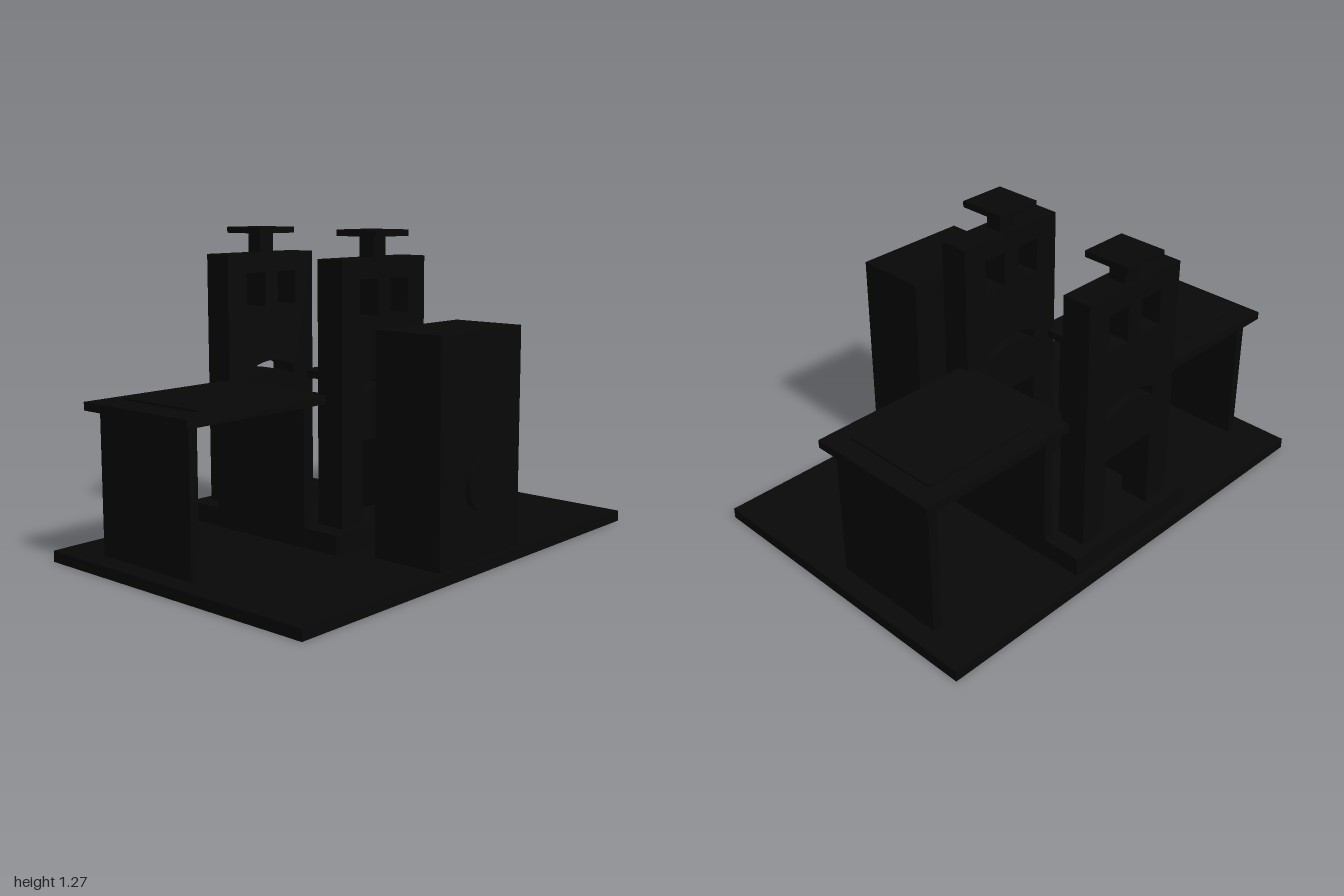
import * as THREE from 'three';

const black = new THREE.MeshStandardMaterial({ color: 0x080808 });
black.name = 'black';

// Box given by its lower and upper limits on each axis
function block(parent, name, [x0, x1], [y0, y1], [z0, z1]) {
  const mesh = new THREE.Mesh(new THREE.BoxGeometry(x1 - x0, y1 - y0, z1 - z0), black);
  mesh.position.set((x0 + x1) / 2, (y0 + y1) / 2, (z0 + z1) / 2);
  mesh.name = name;
  parent.add(mesh);
  return mesh;
}

// Cylinder lying along x
function rod(parent, name, radius, [x0, x1], y) {
  const geometry = new THREE.CylinderGeometry(radius, radius, x1 - x0, 32).rotateZ(Math.PI / 2);
  const mesh = new THREE.Mesh(geometry, black);
  mesh.position.set((x0 + x1) / 2, y, 0);
  mesh.name = name;
  parent.add(mesh);
}

function rectPath(z0, z1, y0, y1) {
  return new THREE.Path([[z0, y0], [z0, y1], [z1, y1], [z1, y0]].map(p => new THREE.Vector2(...p)));
}

// Base plate with six shallow pockets underneath
function createBase() {
  const base = new THREE.Group();
  base.name = 'base';
  const X = 0.665, rib = 0.015;
  block(base, 'basePlate', [-X, X], [0.03, 0.045], [-1, 1]);
  for (const x of [-X + rib, 0, X - rib]) block(base, 'longRib', [x - rib, x + rib], [0, 0.03], [-1, 1]);
  for (const z of [-1 + rib, -1 / 3, 1 / 3, 1 - rib]) block(base, 'crossRib', [-X, X], [0, 0.03], [z - rib, z + rib]);
  return base;
}

// Upright slab with doorway, arched slot, two windows, plinth and capped post
function createTower(x) {
  const tower = new THREE.Group();
  tower.name = 'tower';
  const depth = 0.125;
  const outline = new THREE.Shape([
    [-0.25, 0.12], [-0.13, 0.12], [-0.13, 0.46], [0.13, 0.46], [0.13, 0.12],
    [0.25, 0.12], [0.25, 1.167], [-0.25, 1.167],
  ].map(p => new THREE.Vector2(...p)));
  outline.holes.push(rectPath(-0.145, -0.037, 0.942, 1.088), rectPath(0.037, 0.145, 0.942, 1.088));
  const slot = new THREE.Path();
  slot.moveTo(-0.13, 0.64);
  slot.quadraticCurveTo(0, 0.7, 0.13, 0.64);
  slot.lineTo(0.13, 0.68);
  slot.quadraticCurveTo(0, 0.74, -0.13, 0.68);
  slot.closePath();
  outline.holes.push(slot);
  const geometry = new THREE.ExtrudeGeometry(outline, { depth, bevelEnabled: false, curveSegments: 10 });
  geometry.translate(0, 0, -depth / 2).rotateY(Math.PI / 2);
  const slab = new THREE.Mesh(geometry, black);
  slab.name = 'towerSlab';
  tower.add(slab);
  block(tower, 'plinth', [-0.106, 0.106], [0.04, 0.125], [-0.33, 0.33]);
  block(tower, 'capPost', [-0.036, 0.036], [1.16, 1.255], [-0.037, 0.037]);
  block(tower, 'capPlate', [-0.1, 0.1], [1.25, 1.275], [-0.1, 0.1]);
  tower.position.x = x;
  return tower;
}

// Table with two end walls and a thin raised panel
function createTable(name, side, panel) {
  const table = new THREE.Group();
  table.name = name;
  const span = (a, b) => (side > 0 ? [a, b] : [-b, -a]);
  block(table, 'tableTop', [-0.5, 0.083], [0.61, 0.643], span(0.215, 0.957));
  block(table, 'tablePanel', [-0.418, 0], [0.64, 0.652], span(...panel));
  block(table, 'outerWall', [-0.458, 0.041], [0.04, 0.612], span(0.876, 0.915));
  block(table, 'innerWall', [-0.458, 0.041], [0.04, 0.612], span(0.292, 0.332));
  return table;
}

// Cabinet beside the towers, with a round boss and two connecting pipes
function createCabinet() {
  const cabinet = new THREE.Group();
  cabinet.name = 'cabinet';
  block(cabinet, 'cabinetBody', [0.333, 0.64], [0.04, 0.917], [-0.25, 0.25]);
  rod(cabinet, 'roundBoss', 0.1, [0.63, 0.665], 0.335);
  for (const y of [0.542, 0.793]) rod(cabinet, 'connectingPipe', 0.05, [0.15, 0.345], y);
  return cabinet;
}

export function createModel() {
  const model = new THREE.Group();
  model.name = 'model';
  model.add(
    createBase(),
    createTower(-0.522),
    createTower(0.103),
    createTable('frontTable', 1, [0.336, 0.835]),
    createTable('backTable', -1, [0.374, 0.872]),
    createCabinet(),
  );
  return model;
}
